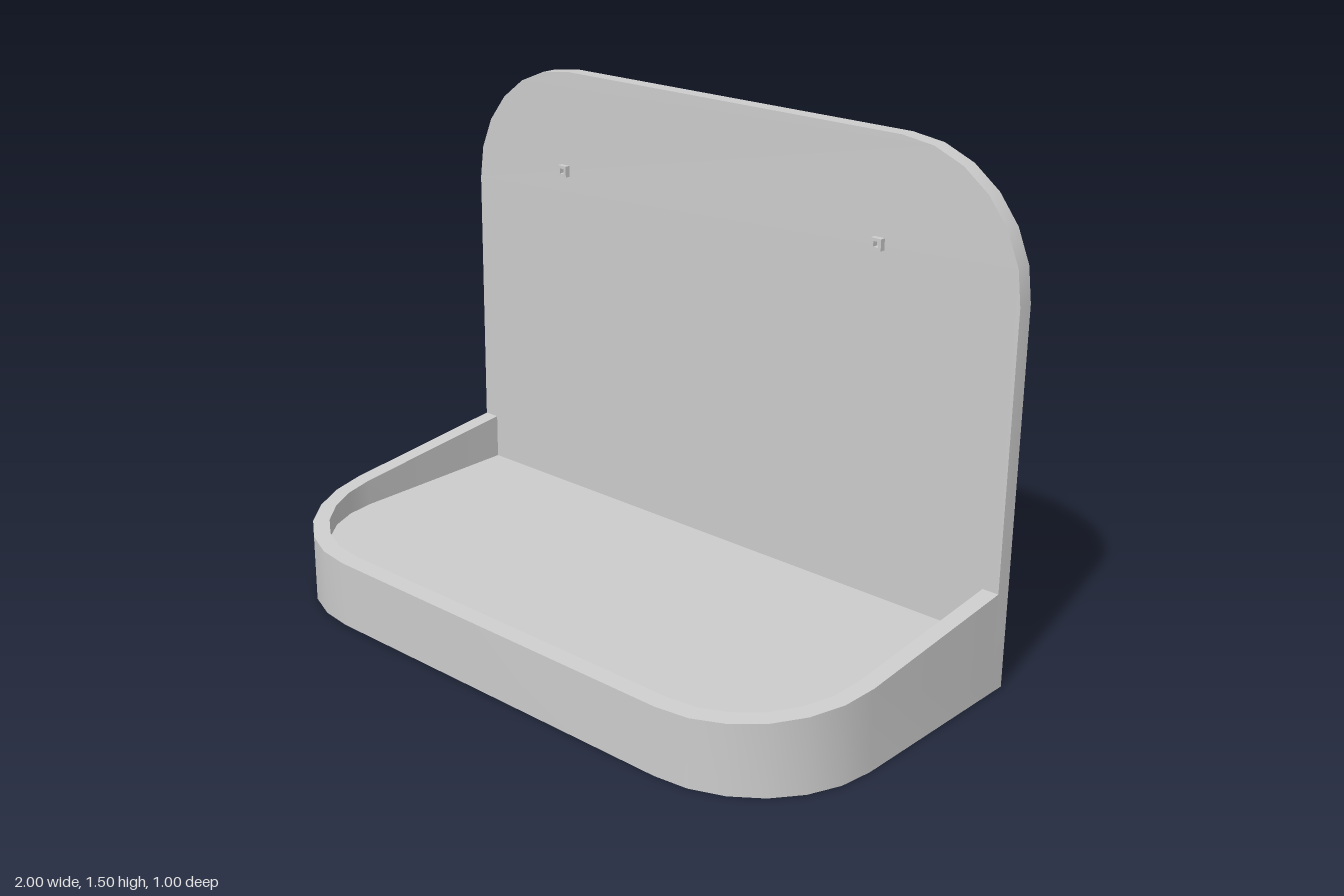
import * as THREE from 'three';
import { toCreasedNormals } from 'three/addons/utils/BufferGeometryUtils.js';

const material = new THREE.MeshStandardMaterial({ color: 0xcccccc });
const BACK = -0.45; // front face of the back panel

// Rectangle from y0 to y1 with its two far corners rounded
function outline(halfWidth, y0, y1, r) {
  const s = new THREE.Shape();
  s.moveTo(halfWidth, y0);
  s.lineTo(halfWidth, y1 - r);
  s.absarc(halfWidth - r, y1 - r, r, 0, Math.PI / 2);
  s.lineTo(r - halfWidth, y1);
  s.absarc(r - halfWidth, y1 - r, r, Math.PI / 2, Math.PI);
  s.lineTo(-halfWidth, y0);
  return s;
}

function extrude(shape, depth) {
  return new THREE.ExtrudeGeometry(shape, { depth, curveSegments: 3, bevelEnabled: false });
}

// Lay an extrusion flat: shape y becomes z, standing from y = 0 up to its depth
function flat(shape, height) {
  return extrude(shape, height).rotateX(Math.PI / 2).translate(0, height, 0);
}

function part(name, geometry) {
  const mesh = new THREE.Mesh(toCreasedNormals(geometry, 0.5), material);
  mesh.name = name;
  return mesh;
}

export function createModel() {
  const group = new THREE.Group();
  group.name = 'wallShelf';

  // Upright panel with rounded top corners
  group.add(part('backPanel', extrude(outline(1, 0, 1.5, 0.39), 0.05).translate(0, 0, -0.5)));

  // Tray floor
  const inner = outline(0.95, BACK, 0.45, 0.34);
  group.add(part('trayFloor', flat(inner, 0.16)));

  // U-shaped rim whose top slopes down toward the front
  const outer = outline(1, BACK, 0.5, 0.39);
  const loop = [...outer.getPoints(3), ...inner.getPoints(3).reverse()];
  const rim = flat(new THREE.Shape(loop), 1);
  const p = rim.attributes.position;
  for (let i = 0; i < p.count; i++) {
    const top = 0.3 - 0.1 * (p.getZ(i) - BACK) / 0.95;
    p.setY(i, p.getY(i) > 0.5 ? top : 0);
  }
  group.add(part('trayRim', rim));

  // Two small hollow square pegs on the panel
  const square = (h) => [[-h, -h], [h, -h], [h, h], [-h, h]].map(([x, y]) => new THREE.Vector2(x, y));
  for (const [name, x] of [['rightPeg', -0.62], ['leftPeg', 0.556]]) {
    const shape = new THREE.Shape(square(0.017));
    shape.holes.push(new THREE.Path(square(0.008)));
    const peg = part(name, extrude(shape, 0.017));
    peg.position.set(x, 1.195, BACK);
    group.add(peg);
  }
  return group;
}
